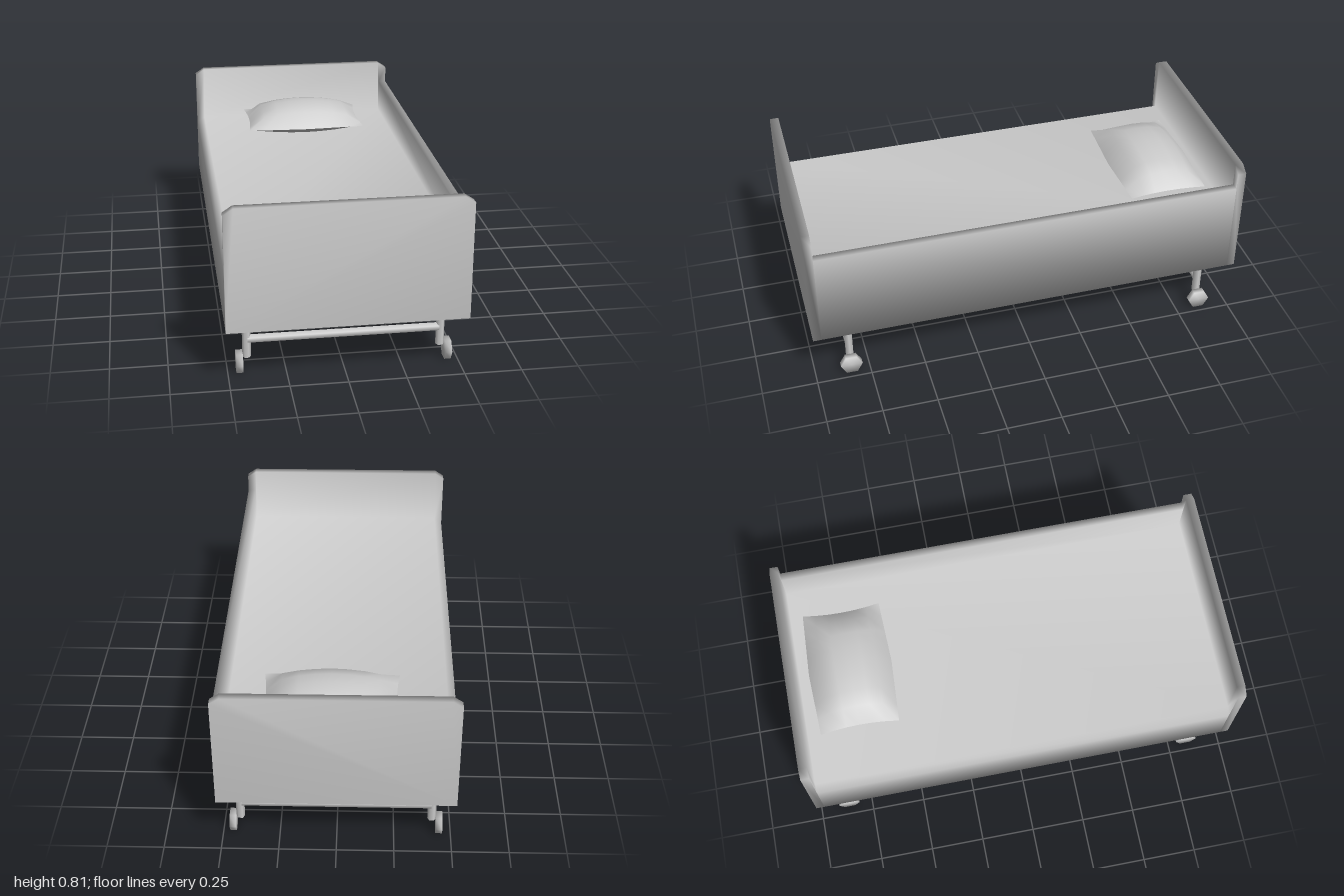
import * as THREE from 'three';
import { mergeVertices } from 'three/addons/utils/BufferGeometryUtils.js';

const material = new THREE.MeshStandardMaterial({ color: 0xcccccc });
const softMaterial = new THREE.MeshStandardMaterial({ color: 0xcccccc, side: THREE.DoubleSide });

function add(parent, name, geometry, x = 0, y = 0, z = 0, mat = material) {
  const mesh = new THREE.Mesh(geometry, mat);
  mesh.name = name;
  mesh.position.set(x, y, z);
  parent.add(mesh);
  return mesh;
}

// Weld coincident corners so the shading runs smoothly over the edges
function smooth(geo) {
  geo.deleteAttribute('normal');
  geo.deleteAttribute('uv');
  const welded = mergeVertices(geo, 1e-4);
  welded.computeVertexNormals();
  return welded;
}

// Closed shell through matching outlines [z, points], listed from back to front
function loft(sections) {
  const n = sections[0][1].length, last = (sections.length - 1) * n;
  const positions = sections.flatMap(([z, pts]) => pts.flatMap(([x, y]) => [x, y, z]));
  const index = [];
  for (let a = 0; a < last; a += n) {
    for (let i = 0; i < n; i++) {
      const j = (i + 1) % n;
      index.push(a + i, a + j, a + n + j, a + i, a + n + j, a + n + i);
    }
  }
  for (let i = 1; i < n - 1; i++) {
    index.push(0, i + 1, i, last, last + i, last + i + 1);
  }
  const geo = new THREE.BufferGeometry();
  geo.setAttribute('position', new THREE.Float32BufferAttribute(positions, 3));
  geo.setIndex(index);
  return smooth(geo);
}

// One half of the pillow: side = 1 for the top, -1 for the underside
function pillowHalf(side) {
  const geo = new THREE.PlaneGeometry(2, 2, 8, 6).rotateX(-Math.PI / 2);
  const p = geo.attributes.position;
  for (let i = 0; i < p.count; i++) {
    const u = p.getX(i), v = p.getZ(i);
    const puff = Math.sqrt(Math.max(0, (1 - u * u) * (1 - v * v)));
    const x = u * (0.28 + 0.015 * v * v);            // short sides pinch inward
    const z = v * (0.18 + 0.013 * (1 - Math.abs(u))); // long sides bow outward
    p.setXYZ(i, x, side * (side > 0 ? 0.095 : 0.05) * puff, z);
  }
  if (side < 0) geo.index.array.reverse();
  geo.computeVertexNormals();
  return geo;
}

export function createModel() {
  const bed = new THREE.Group();
  bed.name = 'bed';

  // Tray between the boards: tall rail on the left, low edge on the right
  const tray = [
    [-0.512, 0.265], [0.512, 0.265], [0.512, 0.71], [0.475, 0.71],
    [0.475, 0.553], [-0.475, 0.553], [-0.512, 0.522],
  ];
  // Head and foot boards with clipped upper corners
  const board = [
    [-0.512, 0.265], [0.512, 0.265], [0.512, 0.787], [0.47, 0.815],
    [0.47, 0.815], [-0.47, 0.815], [-0.512, 0.787],
  ];
  add(bed, 'bedFrame', loft([
    [-1, board], [-0.962, board], [-0.962, tray],
    [0.962, tray], [0.962, board], [1, board],
  ]));

  // Pillow
  const pillow = new THREE.Group();
  pillow.name = 'pillow';
  pillow.position.set(0.027, 0.605, -0.718);
  add(pillow, 'pillowTop', pillowHalf(1), 0, 0, 0, softMaterial);
  add(pillow, 'pillowUnderside', pillowHalf(-1), 0, 0, 0, softMaterial);
  bed.add(pillow);

  // Six-sided legs, wheels and cross bars at each end
  const legGeo = new THREE.CylinderGeometry(0.019, 0.019, 0.205, 6).rotateY(Math.PI / 2);
  const wheelGeo = smooth(new THREE.CylinderGeometry(0.05, 0.05, 0.029, 6).rotateZ(Math.PI / 2));
  const barGeo = new THREE.CylinderGeometry(0.02, 0.02, 0.83, 6)
    .rotateY(Math.PI / 2).rotateZ(Math.PI / 2);
  for (const [end, z] of [['front', 0.835], ['back', -0.86]]) {
    const stand = new THREE.Group();
    stand.name = `${end}Stand`;
    for (const side of [-1, 1]) {
      const label = side > 0 ? 'Left' : 'Right';
      add(stand, `${end}${label}Leg`, legGeo, 0.004 + side * 0.42, 0.1685, z);
      add(stand, `${end}${label}Wheel`, wheelGeo, 0.004 + side * 0.4525, 0.0435, z);
    }
    add(stand, `${end}CrossBar`, barGeo, 0.002, 0.149, z);
    bed.add(stand);
  }
  return bed;
}
